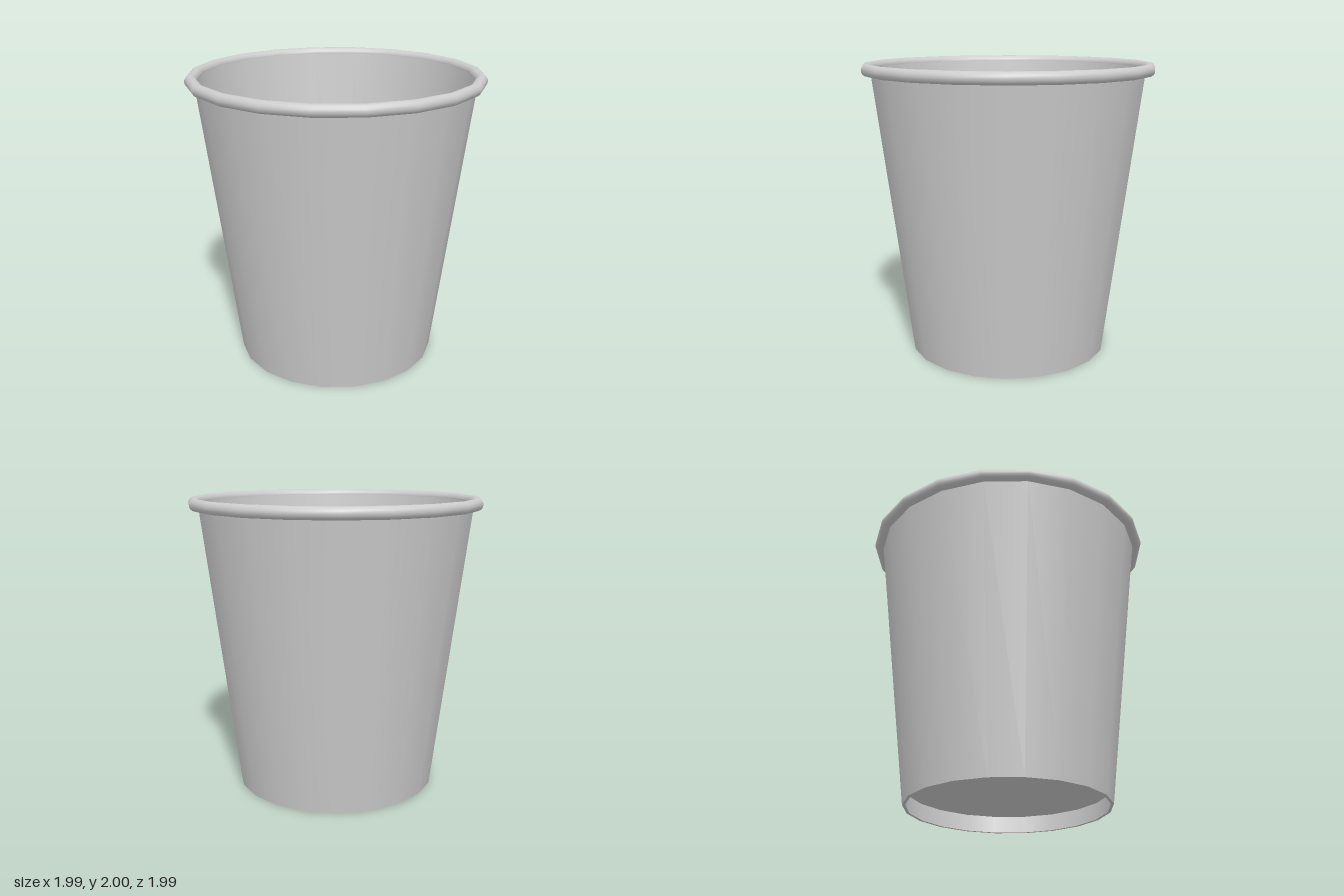
import * as THREE from 'three';

const SIDES = 20;
const HEIGHT = 2;
const RIM = 0.04;          // radius of the rolled rim
const THICK = 0.02;        // wall thickness
const FLOOR_Y = 0.12;      // floor is raised above the base ring
const TOP_Y = HEIGHT - RIM;
const outerRadius = (y) => 0.69 + 0.125 * y;
const innerRadius = (y) => outerRadius(y) - THICK;

export function createModel() {
  const cup = new THREE.Group();
  cup.name = 'cup';
  const material = new THREE.MeshStandardMaterial({ color: 0xcccccc });
  const thin = new THREE.MeshStandardMaterial({ color: 0xcccccc, side: THREE.DoubleSide });

  function add(name, geometry, mat = material) {
    const mesh = new THREE.Mesh(geometry, mat);
    mesh.name = name;
    cup.add(mesh);
    return mesh;
  }

  // One straight profile line turned about the y axis, leaving sharp edges between lines
  const turn = (r0, y0, r1, y1) => new THREE.LatheGeometry(
    [new THREE.Vector2(r0, y0), new THREE.Vector2(r1, y1)], SIDES);

  // Tapered wall: outside, inside and the narrow edge it stands on
  add('outerWall', turn(outerRadius(0), 0, outerRadius(TOP_Y), TOP_Y));
  add('innerWall', turn(innerRadius(TOP_Y), TOP_Y, innerRadius(0), 0));
  add('baseEdge', turn(innerRadius(0), 0, outerRadius(0), 0));

  // Raised floor
  const floor = add('floor', new THREE.CircleGeometry(innerRadius(FLOOR_Y), SIDES), thin);
  floor.rotation.x = -Math.PI / 2;
  floor.position.y = FLOOR_Y;

  // Rolled rim
  const rim = add('rolledRim', new THREE.TorusGeometry(0.995 - RIM, RIM, 16, SIDES));
  rim.rotation.x = -Math.PI / 2;
  rim.position.y = TOP_Y;

  return cup;
}
